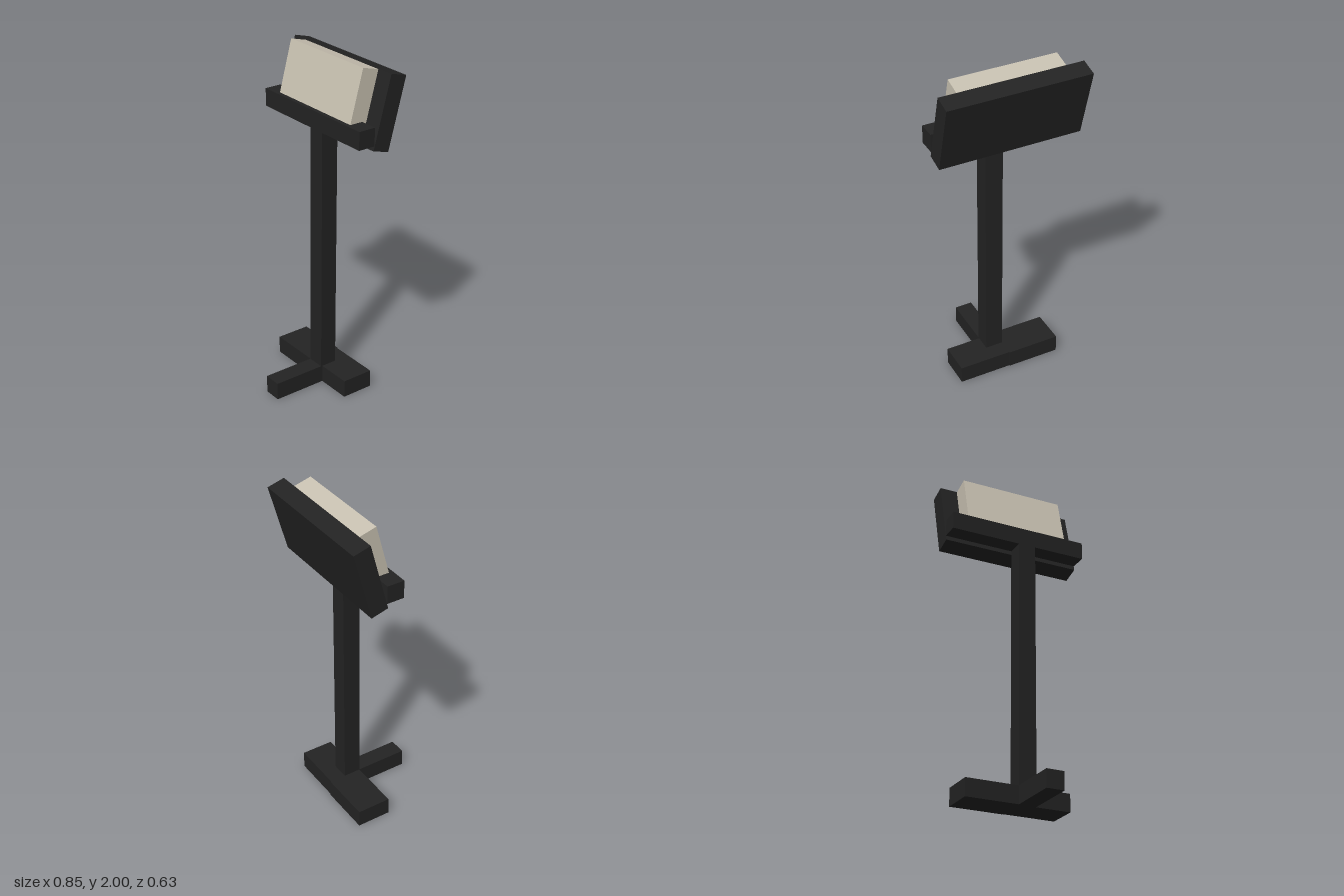
import * as THREE from 'three';

export function createModel() {
  const model = new THREE.Group();
  model.name = 'lectern';

  const black = new THREE.MeshStandardMaterial({ color: 0x232323 });
  black.name = 'black';
  const paper = new THREE.MeshStandardMaterial({ color: 0xc8c1b1 });
  paper.name = 'paper';

  // Box from its lower and upper corners
  function box(name, [x0, y0, z0], [x1, y1, z1], material = black, parent = model) {
    const mesh = new THREE.Mesh(new THREE.BoxGeometry(x1 - x0, y1 - y0, z1 - z0), material);
    mesh.position.set((x0 + x1) / 2, (y0 + y1) / 2, (z0 + z1) / 2);
    mesh.name = name;
    parent.add(mesh);
    return mesh;
  }

  // Base: one forward foot and two side feet
  box('frontFoot', [0, 0, -0.005], [0.106, 0.106, 0.314]);
  box('leftFoot', [0, 0, -0.207], [0.318, 0.106, -0.013]);
  box('rightFoot', [-0.318, 0, -0.212], [0, 0.106, -0.005]);

  // Upright and the ledge that holds the book
  box('post', [0, 0, -0.109], [0.106, 1.594, -0.004]);
  box('ledge', [-0.424, 1.594, -0.109], [0.424, 1.7, -0.004]);

  // Leaning board with the book resting on it
  const desk = new THREE.Group();
  desk.name = 'desk';
  desk.position.set(0, 1.757, -0.209);
  desk.rotation.x = -Math.PI / 12;
  model.add(desk);
  box('board', [-0.424, -0.212, -0.053], [0.424, 0.212, 0.053], black, desk);
  box('book', [-0.318, -0.109, 0.053], [0.318, 0.209, 0.16], paper, desk);

  return model;
}
